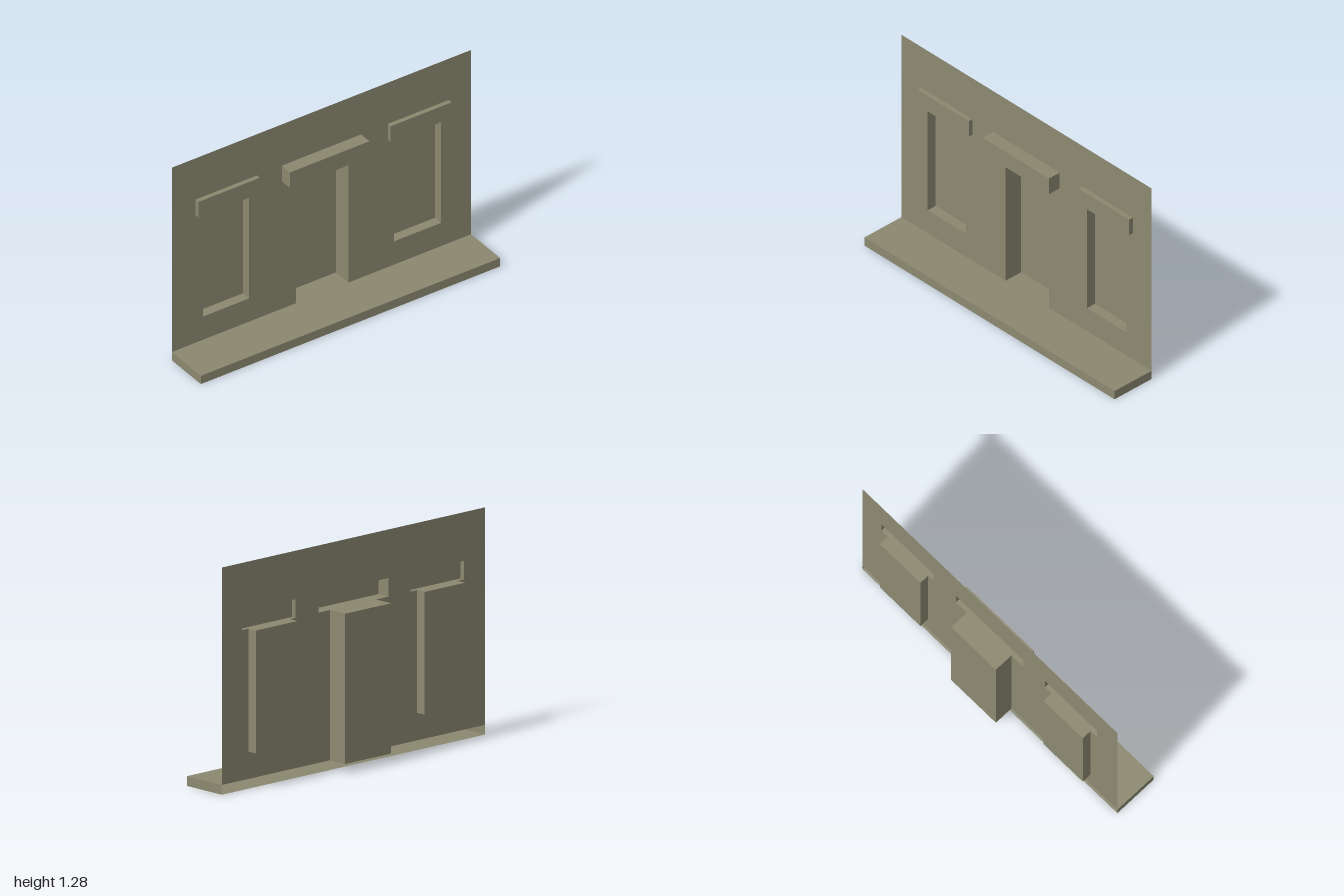
import * as THREE from 'three';
import { mergeGeometries } from 'three/addons/utils/BufferGeometryUtils.js';

const WALL_Z = -0.08, STEP_Y = 0.055, HEAD_Y = 0.905, LINTEL_Y = 1.01, WALL_TOP = 1.285;

// Thin open box: only the listed sides are built.
function openBox([x0, x1], [y0, y1], [z0, z1], sides) {
  const w = x1 - x0, h = y1 - y0, d = z1 - z0;
  const cx = (x0 + x1) / 2, cy = (y0 + y1) / 2, cz = (z0 + z1) / 2;
  const make = {
    front: () => new THREE.PlaneGeometry(w, h).translate(cx, cy, z1),
    back: () => new THREE.PlaneGeometry(w, h).translate(cx, cy, z0),
    left: () => new THREE.PlaneGeometry(d, h).rotateY(Math.PI / 2).translate(x1, cy, cz),
    right: () => new THREE.PlaneGeometry(d, h).rotateY(-Math.PI / 2).translate(x0, cy, cz),
    top: () => new THREE.PlaneGeometry(w, d).rotateX(-Math.PI / 2).translate(cx, y1, cz),
    bottom: () => new THREE.PlaneGeometry(w, d).rotateX(Math.PI / 2).translate(cx, y0, cz),
  };
  return mergeGeometries(sides.map((s) => make[s]()));
}

// T-shaped outline of an opening and the lintel above it.
function openingOutline({ x, sill, lintelX }) {
  return [
    [x[0], sill], [x[0], HEAD_Y], [lintelX[0], HEAD_Y], [lintelX[0], LINTEL_Y],
    [lintelX[1], LINTEL_Y], [lintelX[1], HEAD_Y], [x[1], HEAD_Y], [x[1], sill],
  ].map(([px, py]) => new THREE.Vector2(px, py));
}

export function createModel() {
  const group = new THREE.Group();
  const stone = new THREE.MeshStandardMaterial({ color: 0x8c8971, side: THREE.DoubleSide });
  stone.name = 'olive stone';

  const add = (name, geometry) => {
    const mesh = new THREE.Mesh(geometry, stone);
    mesh.name = name;
    group.add(mesh);
  };

  const door = { name: 'door', x: [-0.17, 0.18], sill: STEP_Y, back: -0.2, lintelX: [-0.265, 0.265], lintelZ: 0 };
  const windows = [
    { name: 'rightWindow', x: [-0.79, -0.483], lintelX: [-0.84, -0.432] },
    { name: 'leftWindow', x: [0.483, 0.8], lintelX: [0.443, 0.85] },
  ].map((w) => ({ ...w, sill: 0.21, back: -0.14, lintelZ: -0.052 }));

  // Wall sheet: the door is a notch in its lower edge, the windows are holes
  const outline = [
    new THREE.Vector2(-1, STEP_Y),
    ...openingOutline(door),
    new THREE.Vector2(1, STEP_Y),
    new THREE.Vector2(1, WALL_TOP),
    new THREE.Vector2(-1, WALL_TOP),
  ];
  const wall = new THREE.Shape(outline);
  windows.forEach((w) => wall.holes.push(new THREE.Path(openingOutline(w))));
  add('wall', new THREE.ShapeGeometry(wall).translate(0, 0, WALL_Z));

  // Recesses behind the wall and lintels in front, each open towards the wall
  for (const o of [door, ...windows]) {
    add(o.name + 'Recess', openBox(o.x, [o.sill, HEAD_Y], [o.back, WALL_Z],
      ['back', 'left', 'right', 'top', 'bottom']));
    add(o.name + 'Lintel', openBox(o.lintelX, [HEAD_Y, LINTEL_Y], [WALL_Z, o.lintelZ],
      ['front', 'left', 'right', 'top', 'bottom']));
  }

  // Step along the foot of the wall, open at the back
  add('step', openBox([-1, 1], [0, STEP_Y], [WALL_Z, 0.2],
    ['front', 'left', 'right', 'top', 'bottom']));

  return group;
}
